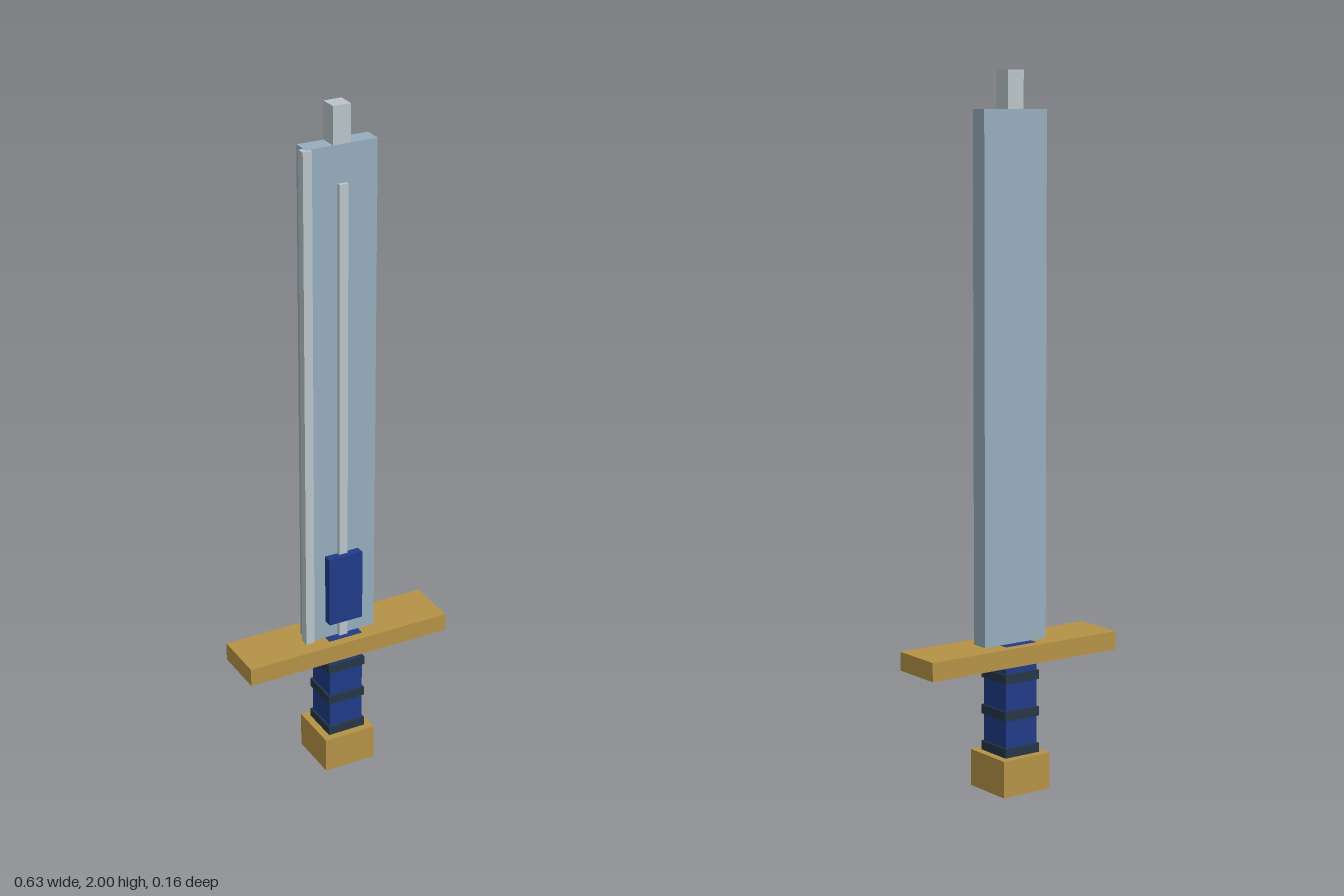
import * as THREE from 'three';

const material = (name, color) => {
  const m = new THREE.MeshStandardMaterial({ color });
  m.name = name;
  return m;
};

export function createModel() {
  const sword = new THREE.Group();
  sword.name = 'sword';

  const gold = material('gold', 0xb59346);
  const steel = material('blueSteel', 0x96adbc);
  const silver = material('silver', 0xbac5c9);
  const blue = material('blue', 0x203b87);
  const dark = material('darkWrap', 0x263646);

  // Box given by its limits on each axis
  const block = (name, mat, [x0, x1], [y0, y1], [z0, z1]) => {
    const mesh = new THREE.Mesh(new THREE.BoxGeometry(x1 - x0, y1 - y0, z1 - z0), mat);
    mesh.position.set((x0 + x1) / 2, (y0 + y1) / 2, (z0 + z1) / 2);
    mesh.name = name;
    sword.add(mesh);
  };
  const half = (h) => [-h, h];

  // Hilt: the grip's top end just shows through the guard
  block('pommel', gold, half(0.079), [0, 0.105], half(0.079));
  block('grip', blue, half(0.0526), [0.105, 0.4215], half(0.0526));
  block('guard', gold, half(0.316), [0.368, 0.421], half(0.079));

  // Dark bands around the grip
  for (let i = 0; i < 3; i++) {
    const y = 0.1055 + i * 0.1053;
    block('gripBand' + (i + 1), dark, half(0.058), [y, y + 0.0263], half(0.058));
  }

  // Blade with its tip, side edge and front ridge
  block('blade', steel, half(0.105), [0.421, 1.895], half(0.0263));
  block('bladeTip', silver, half(0.0263), [1.895, 2], half(0.0263));
  block('sideEdge', silver, [-0.119, -0.0925], [0.421, 1.8945], [0.01, 0.036]);
  block('frontRidge', silver, half(0.0132), [0.421, 1.789], [0.02, 0.037]);

  // Raised plate at the base of the blade
  block('bladePlate', blue, half(0.0526), [0.475, 0.688], [0.02, 0.0526]);

  return sword;
}
